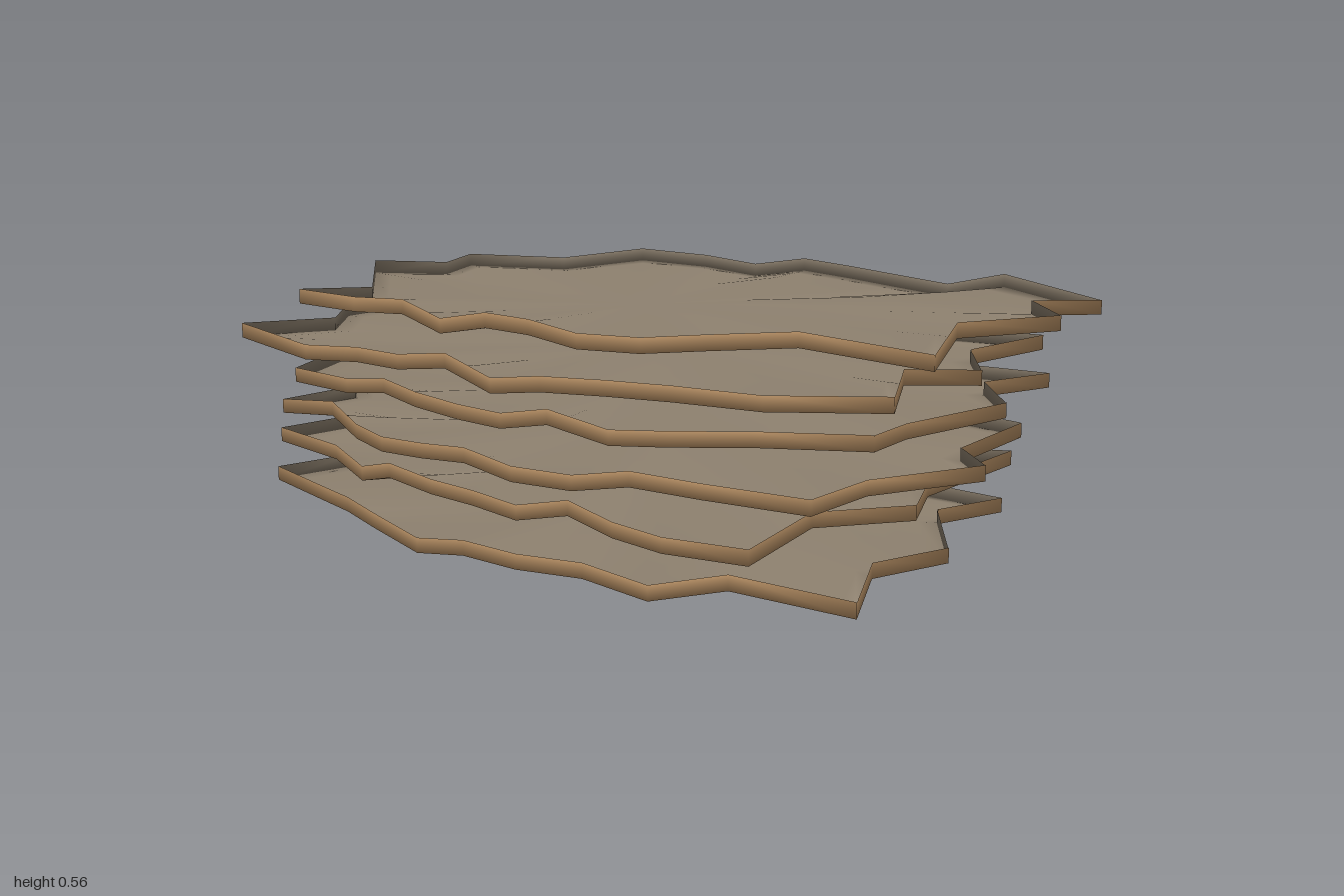
import * as THREE from 'three';

const fur = new THREE.MeshStandardMaterial({ color: 0x8f8270 });
fur.name = 'greyFur';
const leather = new THREE.MeshStandardMaterial({ color: 0xc49a6c });
leather.name = 'tanLeather';

const WALL = 0.036;
const RINGS = [0.3, 0.6, 0.82, 0.94, 1];

// Ragged end: a notch between each pair of spikes
function raggedEnd(spikes) {
  const pts = [];
  for (let i = 0; i < spikes.length; i += 2) {
    const [x, z, x2, z2] = spikes.slice(i, i + 4);
    pts.push([x, z]);
    if (x2 !== undefined) pts.push([(x + x2) * 0.445, (z + z2) * 0.445]);
  }
  return pts;
}

// Long edge: a shoulder beside each end spike and a gentle bulge between them
function longEdge(from, to, zPeak, n = 8) {
  const shoulder = ([x, z]) => [x * 0.7, z + (zPeak - z) * 0.27];
  const a = shoulder(from), b = shoulder(to);
  return Array.from({ length: n + 1 }, (_, i) => {
    const t = i / n;
    const line = a[1] + (b[1] - a[1]) * t;
    const bulge = i === n ? 0 : Math.sin(Math.PI * t) ** 0.75;
    return [a[0] + (b[0] - a[0]) * t, line + (zPeak - line) * bulge + 0.008 * Math.sin(i * 2.4)];
  });
}

// Shallow shell: rings from the centre to the wavy edge, then an upright rim
function shell(pts, seed, inner) {
  const n = pts.length, inset = inner ? 0.997 : 1, lift = inner ? 0.003 : 0;
  const wave = (i) => 0.013 * Math.sin(i * 1.75 + seed * 2.1) + 0.009 * Math.sin(i * 2.9 + seed);
  const pos = [0, 0.022 + lift, 0], index = [];
  const ring = (k, rise) => pts.forEach(([x, z], i) =>
    pos.push(x * k * inset, 0.022 + wave(i) * k ** 3 + rise, z * k * inset));
  RINGS.forEach((k) => ring(k, lift));
  ring(1, WALL);
  for (let i = 0; i < n; i++) {
    const j = (i + 1) % n;
    index.push(0, 1 + i, 1 + j);
    for (let r = 0; r < RINGS.length; r++) {
      const a = 1 + r * n, b = a + n;
      index.push(a + i, b + i, b + j, a + i, b + j, a + j);
    }
  }
  const geo = new THREE.BufferGeometry();
  geo.setAttribute('position', new THREE.Float32BufferAttribute(pos, 3));
  geo.setIndex(index);
  geo.computeVertexNormals();
  if (inner) {
    // Fur side faces up, with pillow-like normals towards the edge
    geo.setIndex(index.slice().reverse());
    const nor = geo.attributes.normal;
    for (let i = 0; i < nor.count; i++) nor.setY(i, -nor.getY(i));
  }
  return geo;
}

// One hide; right spikes run back to front, left spikes front to back (x, z pairs)
function makeHide(level, right, left, front, back) {
  const r = raggedEnd(right), l = raggedEnd(left);
  const pts = [...r, ...longEdge(r.at(-1), l[0], front), ...l, ...longEdge(l.at(-1), r[0], back)];
  const hide = new THREE.Group();
  hide.name = `hide${level + 1}`;
  const underside = new THREE.Mesh(shell(pts, level, false), leather);
  underside.name = 'leatherUnderside';
  const top = new THREE.Mesh(shell(pts, level, true), fur);
  top.name = 'furTop';
  hide.add(underside, top);
  hide.position.y = level * 0.0965;
  return hide;
}

export function createModel() {
  const model = new THREE.Group();
  model.name = 'hideStack';
  model.add(
    makeHide(0, [0.76, -0.43, 0.87, 0, 0.95, 0.49], [-0.86, 0.45, -0.87, 0.12, -0.82, -0.25], 0.68, -0.47),
    makeHide(1, [0.77, -0.45, 0.82, 0.06, 0.76, 0.6], [-0.83, 0.46, -1, 0.1, -0.9, -0.2], 0.59, -0.56),
    makeHide(2, [0.8, -0.44, 1, 0.08, 0.82, 0.47], [-0.82, 0.46, -0.89, 0.14, -0.84, -0.22], 0.64, -0.49),
    makeHide(3, [0.8, -0.57, 0.89, -0.2, 0.88, 0.33], [-0.72, 0.5, -0.94, 0.17, -0.96, -0.22], 0.58, -0.58),
    makeHide(4, [0.8, -0.53, 0.87, -0.12, 0.92, 0.32], [-0.76, 0.63, -0.92, 0.14, -0.96, -0.35], 0.61, -0.56),
    makeHide(5, [0.87, -0.69, 0.97, -0.29, 0.94, 0.2], [-0.66, 0.53, -0.82, 0.13, -0.84, -0.25], 0.53, -0.66),
  );
  // Stand the stack on the ground
  model.position.y = -new THREE.Box3().setFromObject(model, true).min.y;
  return model;
}
